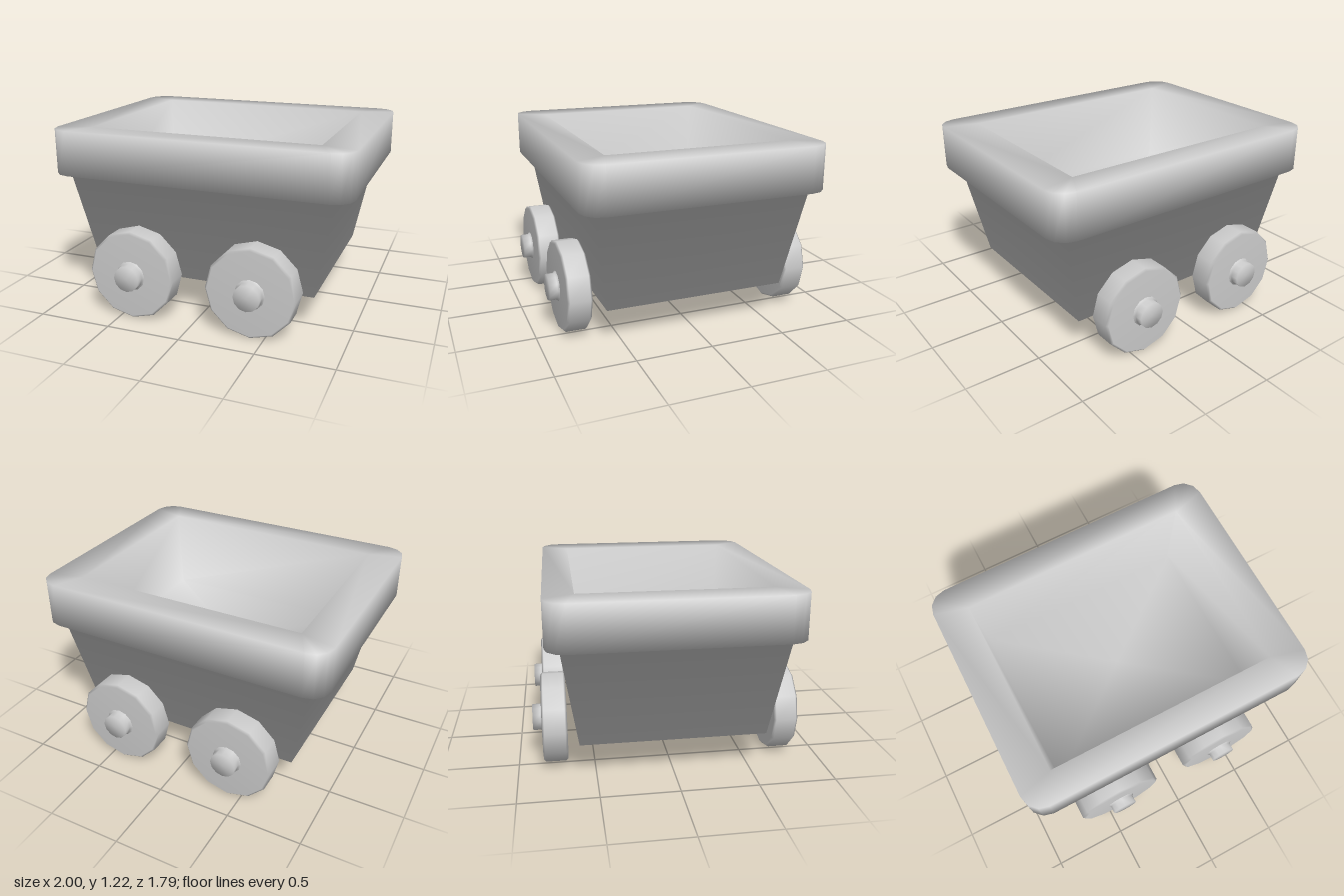
import * as THREE from 'three';
import { mergeVertices } from 'three/addons/utils/BufferGeometryUtils.js';

const material = new THREE.MeshStandardMaterial({ color: 0xcccccc });

// Rectangle outline at height y with half sizes hx, hz and corner radius r
function ring({ hx, hz, y, r = 0 }, steps) {
  const points = [];
  for (let q = 0; q < 4; q++) {
    const sx = q === 0 || q === 3 ? 1 : -1;
    const sz = q < 2 ? 1 : -1;
    for (let k = 0; k <= steps; k++) {
      const a = (q + k / steps) * Math.PI / 2;
      points.push([sx * (hx - r) + r * Math.cos(a), y, sz * (hz - r) + r * Math.sin(a)]);
    }
  }
  return points;
}

// Smooth normals, each face weighted by its angle at the vertex
function smoothByAngle(geometry) {
  const { position } = geometry.attributes;
  const index = geometry.index.array;
  const normals = Array.from({ length: position.count }, () => new THREE.Vector3());
  const corner = (i) => new THREE.Vector3().fromBufferAttribute(position, i);
  for (let t = 0; t < index.length; t += 3) {
    for (let k = 0; k < 3; k++) {
      const [a, b, c] = [0, 1, 2].map((m) => index[t + (k + m) % 3]);
      const ab = corner(b).sub(corner(a));
      const ac = corner(c).sub(corner(a));
      const angle = ab.angleTo(ac);
      normals[a].addScaledVector(ab.cross(ac).normalize(), angle);
    }
  }
  const values = normals.flatMap((n) => n.normalize().toArray());
  geometry.setAttribute('normal', new THREE.Float32BufferAttribute(values, 3));
}

// Skin joining successive outlines, welded so the shading is smooth
function loft(sections, steps) {
  const rings = sections.map((s) => ring(s, steps));
  const n = rings[0].length;
  const index = [];
  for (let j = 0; j < rings.length - 1; j++) {
    for (let i = 0; i < n; i++) {
      const a = j * n + i;
      const b = j * n + (i + 1) % n;
      index.push(a, a + n, b, b, a + n, b + n);
    }
  }
  const geometry = new THREE.BufferGeometry();
  geometry.setAttribute('position', new THREE.Float32BufferAttribute(rings.flat(2), 3));
  geometry.setIndex(index);
  const welded = mergeVertices(geometry, 1e-4);

  // Drop triangles that collapsed at square corners and cap centres
  const old = welded.index.array;
  const kept = [];
  for (let i = 0; i < old.length; i += 3) {
    const [a, b, c] = [old[i], old[i + 1], old[i + 2]];
    if (a !== b && b !== c && c !== a) kept.push(a, b, c);
  }
  welded.setIndex(kept);
  smoothByAngle(welded);
  return welded;
}

function addMesh(parent, name, geometry) {
  const mesh = new THREE.Mesh(geometry, material);
  mesh.name = name;
  parent.add(mesh);
  return mesh;
}

// Twelve-sided turned part with its axis along z
function turned(profile) {
  const points = profile.map(([r, z]) => new THREE.Vector2(r, z));
  return new THREE.LatheGeometry(points, 12).rotateX(Math.PI / 2);
}

export function createModel() {
  const cart = new THREE.Group();
  cart.name = 'cart';

  // One skin: underside, tapered walls, thick rim, then down into the tub
  addMesh(cart, 'body', loft([
    { hx: 0, hz: 0, y: 0.24 },
    { hx: 0.76, hz: 0.605, y: 0.24 },
    { hx: 0.893, hz: 0.708, y: 0.92 },
    { hx: 1, hz: 0.795, y: 0.92, r: 0.13 },
    { hx: 1, hz: 0.795, y: 1.218, r: 0.13 },
    { hx: 0.775, hz: 0.605, y: 1.218 },
    { hx: 0.735, hz: 0.575, y: 0.68 },
    { hx: 0, hz: 0, y: 0.68 },
  ], 3));

  // Wheels with softened edges, and hubs with a slightly flared foot
  const wheelGeometry = turned([
    [0, -0.08], [0.285, -0.08], [0.3, -0.066], [0.3, 0.066], [0.285, 0.08], [0, 0.08],
  ]);
  const hubGeometry = turned([
    [0.1, 0.08], [0.087, 0.092], [0.087, 0.142], [0, 0.142],
  ]);
  for (const side of [1, -1]) {
    for (const x of [-0.41, 0.41]) {
      const wheel = new THREE.Group();
      wheel.name = `${side > 0 ? 'front' : 'back'}${x > 0 ? 'Left' : 'Right'}Wheel`;
      addMesh(wheel, 'tyre', wheelGeometry);
      addMesh(wheel, 'hub', hubGeometry);
      wheel.position.set(x, 0.302, side * 0.755);
      if (side < 0) wheel.rotation.y = Math.PI;
      cart.add(wheel);
    }
  }
  return cart;
}
